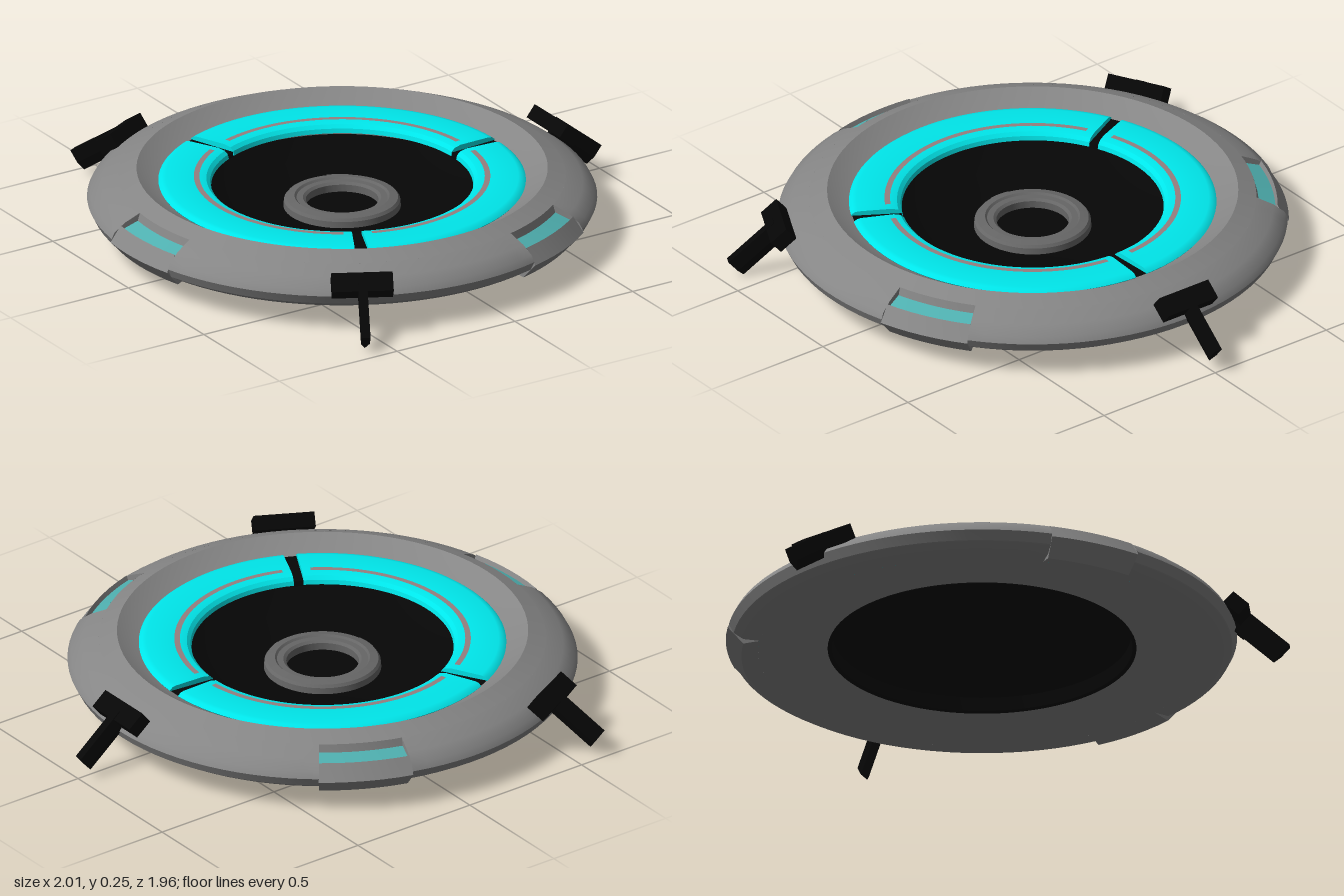
import * as THREE from 'three';
import { toCreasedNormals } from 'three/addons/utils/BufferGeometryUtils.js';

const mat = (color) => new THREE.MeshStandardMaterial({ color, side: THREE.DoubleSide });
const grey = mat(0x868686), darkGrey = mat(0x666666), black = mat(0x060606);
const cyan = mat(0x00e6ea), teal = mat(0x4fb0b0), rose = mat(0x967f7f);
const rad = THREE.MathUtils.degToRad;

function add(parent, name, geometry, material) {
  const mesh = new THREE.Mesh(geometry, material);
  mesh.name = name;
  parent.add(mesh);
  return mesh;
}

// Profile of [radius, y] turned from angle a0 to a1 (measured from +x towards +z)
function turn(profile, a0 = 0, a1 = Math.PI * 2) {
  const pts = profile.map(([r, y]) => new THREE.Vector2(r, y));
  const steps = Math.max(6, Math.round((a1 - a0) * 96 / (Math.PI * 2)));
  return toCreasedNormals(new THREE.LatheGeometry(pts, steps, Math.PI / 2 - a1, a1 - a0), 0.5);
}

// Flat end faces closing a turned arc
function capEnds(parent, name, profile, angles, material) {
  const shape = new THREE.Shape(profile.map(([r, y]) => new THREE.Vector2(r, y)));
  for (const a of angles) add(parent, name, new THREE.ShapeGeometry(shape), material).rotation.y = -a;
}

// Block across the rim with a leg sloping outwards and down; built facing +x
function makeLeg(angle, radius, height, tilt) {
  const leg = new THREE.Group();
  leg.name = 'leg';
  leg.rotation.y = -angle;
  const arm = new THREE.Group();
  arm.name = 'legArm';
  arm.position.set(radius, height, 0);
  arm.rotation.z = -tilt;
  add(arm, 'legClamp', new THREE.BoxGeometry(0.075, 0.055, 0.22), black);
  // Bar with a flat top and a pointed lower edge
  const section = new THREE.Shape([[-0.016, 0.03], [-0.016, -0.02], [0, -0.055], [0.016, -0.02], [0.016, 0.03]]
    .map(([x, y]) => new THREE.Vector2(x, y)));
  const bar = new THREE.ExtrudeGeometry(section, { depth: 0.222, bevelEnabled: false });
  bar.rotateY(Math.PI / 2);
  add(arm, 'legBar', bar, black);
  leg.add(arm);
  return leg;
}

// Wedge-shaped block on the rim with a coloured window sunk behind its lip
function makeRimPad(a0, a1) {
  const pad = new THREE.Group();
  pad.name = 'rimPad';
  add(pad, 'padLip', turn([[0.8, 0.08], [0.86, 0.066], [0.916, 0.128], [0.876, 0.186], [0.868, 0.17]], a0, a1), grey);
  add(pad, 'padWindow', turn([[0.868, 0.17], [0.808, 0.192]], a0, a1), teal);
  add(pad, 'padBack', turn([[0.808, 0.192], [0.8, 0.221]], a0, a1), grey);
  capEnds(pad, 'padEnd', [
    [0.8, 0.08], [0.86, 0.066], [0.916, 0.128], [0.9, 0.163], [0.86, 0.193], [0.8, 0.221],
  ], [a0, a1], grey);
  return pad;
}

export function createModel() {
  const model = new THREE.Group();
  model.name = 'disc';
  const disc = new THREE.Group();
  disc.name = 'discAssembly';
  disc.position.set(-0.086, 0, -0.01);
  model.add(disc);

  // Body: full inner ring, and an outer rim interrupted by the pads
  add(disc, 'innerBody', turn([
    [0.54, 0.165], [0.54, 0.12], [0.55, 0.1], [0.6, 0.086], [0.8, 0.08],
  ]), grey);
  add(disc, 'innerSlope', turn([[0.8, 0.221], [0.735, 0.25], [0.652, 0.198], [0.54, 0.165]]), grey);
  const rim = [[0.8, 0.08], [0.86, 0.084], [0.895, 0.106], [0.912, 0.14], [0.9, 0.163], [0.86, 0.193], [0.8, 0.221]];
  const padAngles = [-63, 63, 176.5, 297].map(rad), half = rad(10.8);
  for (let i = 0; i < 3; i++) {
    add(disc, 'outerRim', turn(rim, padAngles[i] + half, padAngles[i + 1] - half), grey);
    disc.add(makeRimPad(padAngles[i] - half, padAngles[i] + half));
  }

  // Shallow centre dish with a skirt lining the underside opening
  add(disc, 'centreDish', turn([
    [0, 0.095], [0.2, 0.1], [0.38, 0.125], [0.475, 0.175], [0.5, 0.165], [0.533, 0.15], [0.538, 0.1], [0.552, 0.096],
  ]), black);

  // Coloured ring in three segments with black dividers
  const gaps = [1, 116.5, 245, 361].map(rad);
  const ring = [[0.468, 0.182], [0.64, 0.18], [0.657, 0.203], [0.645, 0.213], [0.63, 0.216], [0.51, 0.216],
    [0.485, 0.21], [0.472, 0.198], [0.468, 0.182]];
  for (let i = 0; i < 3; i++) {
    const a0 = gaps[i] + 0.038, a1 = gaps[i + 1] - 0.038;
    add(disc, 'ringSegment', turn(ring, a0, a1), cyan);
    capEnds(disc, 'ringSegmentEnd', ring.slice(0, -1), [a0, a1], cyan);
    add(disc, 'ringStripe', turn([[0.53, 0.218], [0.51, 0.218]], a0 + 0.06, a1 - 0.06), rose);
    add(disc, 'ringDivider', turn([[0.652, 0.2], [0.474, 0.195], [0.472, 0.176]],
      gaps[i] - 0.045, gaps[i] + 0.045), black);
  }

  // Hub ring with three slots
  add(disc, 'hubRing', turn([
    [0.21, 0.104], [0.208, 0.127], [0.2, 0.137], [0.17, 0.142], [0.163, 0.135], [0.14, 0.135], [0.13, 0.127], [0.13, 0.1],
  ]), darkGrey);
  for (const a of [-62, 62, 180].map(rad)) {
    add(disc, 'hubSlot', turn([[0.2, 0.139], [0.185, 0.142]], a - 0.2, a + 0.2), darkGrey);
  }

  // Legs
  disc.add(
    makeLeg(0, 0.9, 0.205, 0.68),
    makeLeg(rad(118.2), 0.92, 0.188, 0.74),
    makeLeg(rad(-118), 0.905, 0.19, 0.6),
  );

  return model;
}
